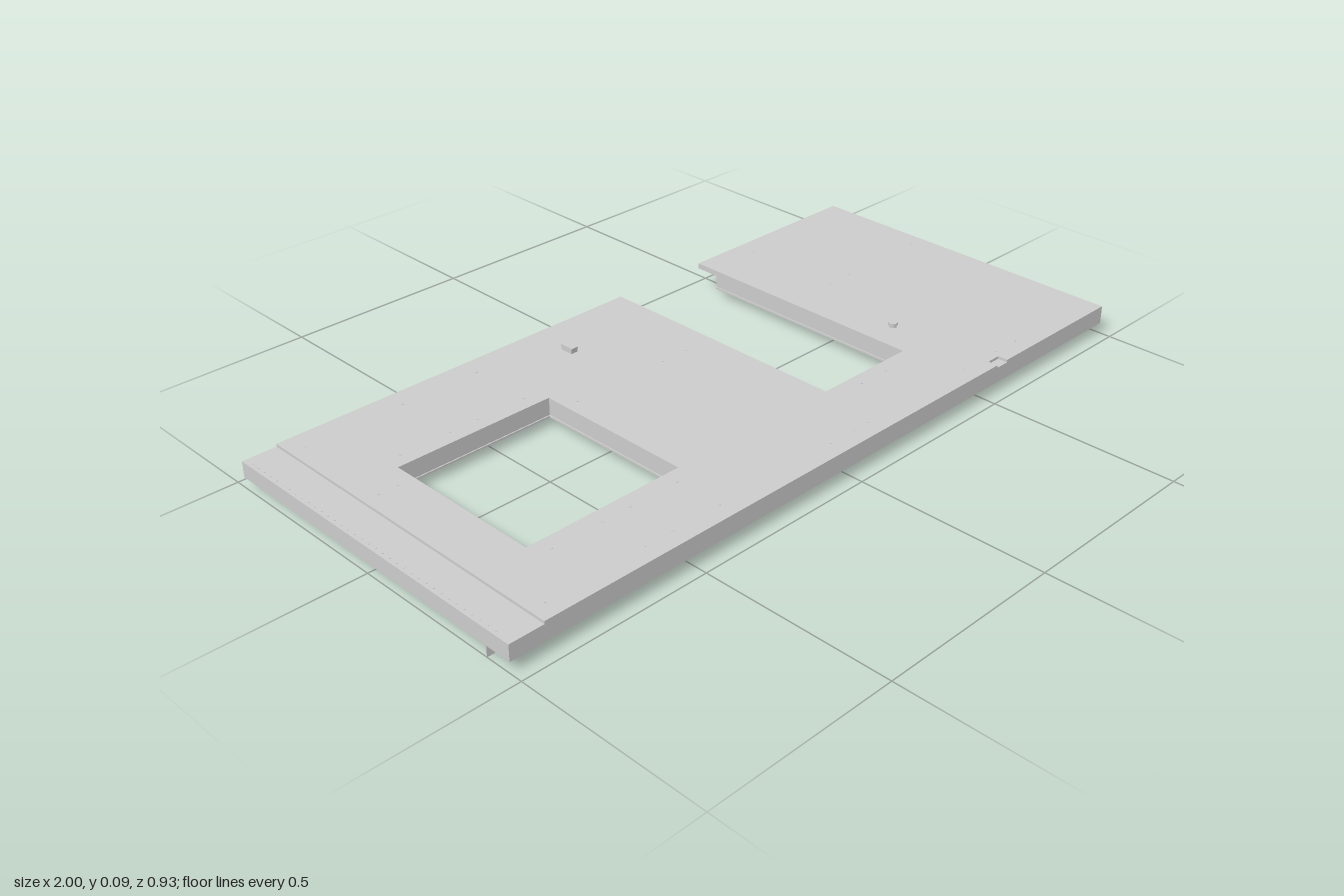
import * as THREE from 'three';

const mat = new THREE.MeshStandardMaterial({ color: 0xcccccc, flatShading: true });

// Plan outline [x, z] and optional window, extruded upward from y0 to y1
function slab(name, points, hole, y0, y1) {
  const toShape = (p) => p.map(([x, z]) => new THREE.Vector2(x, -z));
  const shape = new THREE.Shape(toShape(points));
  if (hole) shape.holes.push(new THREE.Path(toShape(hole)));
  const geo = new THREE.ExtrudeGeometry(shape, { depth: y1 - y0, bevelEnabled: false });
  geo.rotateX(-Math.PI / 2).translate(0, y0, 0);
  const mesh = new THREE.Mesh(geo, mat);
  mesh.name = name;
  return mesh;
}

function box(name, x0, x1, y0, y1, z0, z1) {
  const mesh = new THREE.Mesh(new THREE.BoxGeometry(x1 - x0, y1 - y0, z1 - z0), mat);
  mesh.position.set((x0 + x1) / 2, (y0 + y1) / 2, (z0 + z1) / 2);
  mesh.name = name;
  return mesh;
}

function cylinder(name, r, h, x, y, z, sides) {
  const mesh = new THREE.Mesh(new THREE.CylinderGeometry(r, r, h, sides), mat);
  mesh.position.set(x, y, z);
  mesh.name = name;
  return mesh;
}

// Panel outline with the deep rear slot; frontCut adds the small front notch
function outline(x0, x1, zBack, zFront, slotGap = 0, frontCut = false) {
  const a = 0.15 - slotGap, b = 0.44 + slotGap, d = 0.255 + slotGap;
  const front = frontCut ? [[0.585, zFront], [0.585, 0.44], [0.545, 0.44], [0.545, zFront]] : [];
  return [[x0, zBack], [a, zBack], [a, d], [b, d], [b, zBack], [x1, zBack],
    [x1, zFront], ...front, [x0, zFront]];
}

function windowHole(gap = 0) {
  const x0 = -0.775 - gap, x1 = -0.337 + gap, z0 = -0.19 - gap, z1 = 0.25 + gap;
  return [[x0, z0], [x0, z1], [x1, z1], [x1, z0]];
}

export function createModel() {
  const group = new THREE.Group();
  const back = -0.467, front = 0.467;

  // Panel layers, with the rear lip overhanging the core
  group.add(slab('bottomPan', outline(-0.99, 0.99, -0.4, 0.4), windowHole(), 0.023, 0.028));
  group.add(slab('core', outline(-1, 1, -0.4, front, 0.003), windowHole(0.003), 0.028, 0.062));
  group.add(slab('lipSheet', outline(-1, 1, back, front), windowHole(), 0.062, 0.07));
  group.add(slab('topCover', outline(-0.91, 1, back, front, 0, true), windowHole(), 0.07, 0.077));

  // End walls closing the rear rebate
  for (const s of [-1, 1]) {
    const x = s * 0.997;
    group.add(box('endWall', x - 0.003, x + 0.003, 0.028, 0.064, back, -0.398));
  }

  // Hanging tabs under the front edge
  const tabs = [-0.99, -0.84, -0.785, -0.705, -0.56, -0.41, -0.345, -0.275, -0.1,
    0.075, 0.16, 0.26, 0.43, 0.575, 0.715, 0.855, 0.985];
  for (const x of tabs) {
    group.add(box('tab', x - 0.01, x + 0.01, 0, 0.028, 0.394, 0.396));
  }

  // Top fittings: a flared block and a round knob
  const block = new THREE.BoxGeometry(0.02, 0.015, 0.036);
  const p = block.attributes.position;
  for (let i = 0; i < p.count; i++) {
    if (p.getY(i) > 0) p.setZ(i, p.getZ(i) * 1.15);
  }
  const latch = new THREE.Mesh(block, mat);
  latch.position.set(-0.145, 0.0845, -0.335);
  latch.name = 'latchBlock';
  group.add(latch);
  group.add(cylinder('knobStem', 0.01, 0.008, 0.525, 0.08, 0.152, 20));
  group.add(cylinder('knobHead', 0.0125, 0.006, 0.525, 0.087, 0.152, 20));

  // Rivets in rows on the top: z, then x positions
  const rows = [
    [-0.41, [-0.87, -0.6, -0.38, 0.6]],
    [-0.23, [-0.74, -0.6, -0.52, -0.38]],
    [-0.13, [-0.87, -0.82, -0.3, -0.02, 0.06, 0.6, 0.68, 0.95]],
    [0.29, [-0.74, -0.6, -0.52, -0.38, 0.24, 0.33]],
    [0.42, [-0.87, -0.6, -0.52, -0.38, -0.02, 0.06, 0.11, 0.24, 0.47, 0.6, 0.68, 0.95]],
  ];
  for (const [z, xs] of rows) {
    for (const x of xs) group.add(cylinder('rivet', 0.003, 0.002, x, 0.077, z, 8));
  }

  // Rivets along the lowered end strip
  for (let i = 0; i < 36; i++) {
    group.add(cylinder('stripRivet', 0.0025, 0.002, -0.99, 0.07, -0.44 + i * 0.0245, 6));
  }
  return group;
}
